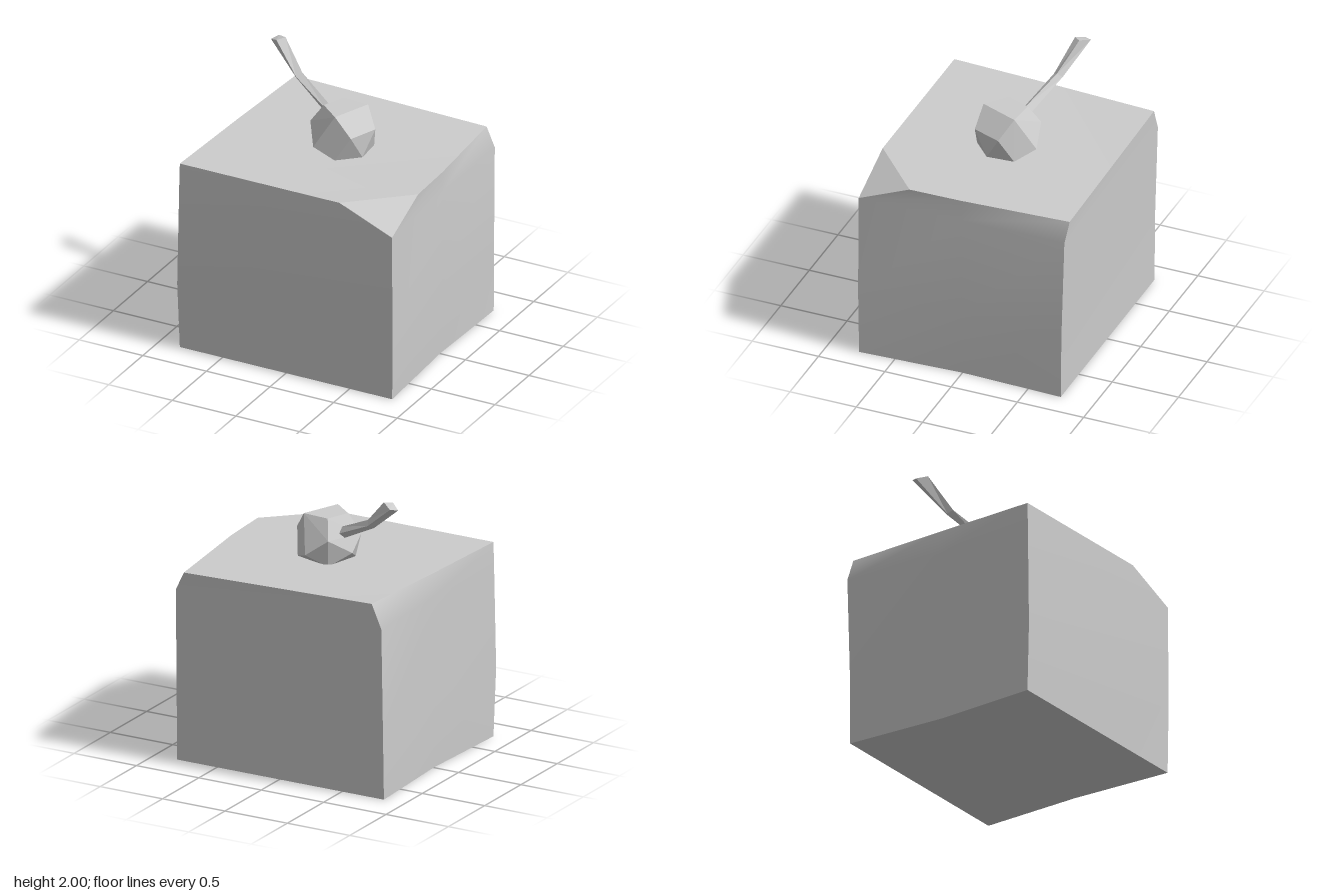
import * as THREE from 'three';
import { ConvexGeometry } from 'three/addons/geometries/ConvexGeometry.js';

const grey = new THREE.MeshStandardMaterial({ color: 0xcccccc });
grey.name = 'plain grey';

function mesh(name, geometry) {
  const m = new THREE.Mesh(geometry, grey);
  m.name = name;
  return m;
}

function surface(points, index) {
  const g = new THREE.BufferGeometry();
  g.setAttribute('position', new THREE.Float32BufferAttribute(points.flat(), 3));
  g.setIndex(index);
  g.computeVertexNormals();
  return g;
}

// Smooth sheet through rows of points, bottom to top and left to right from outside
function patch(rows) {
  const n = rows[0].length;
  const index = [];
  for (let r = 0; r < rows.length - 1; r++) {
    for (let c = 0; c < n - 1; c++) {
      const a = r * n + c;
      index.push(a, a + 1, a + n + 1, a, a + n + 1, a + n);
    }
  }
  return surface(rows.flat(), index);
}

// Polygon filled as a fan from its first corner
function fan(points) {
  const index = [];
  for (let i = 1; i < points.length - 1; i++) index.push(0, i, i + 1);
  return surface(points, index);
}

function createBlock() {
  const block = new THREE.Group();
  block.name = 'block';
  // Corner columns and side midlines, each from the floor up
  const frontLeft = [[-0.835, 0, 0.765], [-0.845, 0.5, 0.785], [-0.837, 1.26, 0.77], [-0.835, 1.43, 0.765]];
  const frontRight = [[0.835, 0, 0.765], [0.84, 0.5, 0.77], [0.835, 1.26, 0.768]];
  const backRight = [[0.82, 0, -0.75], [0.82, 0.5, -0.755], [0.815, 1.26, -0.775], [0.745, 1.40, -0.785]];
  const backLeft = [[-0.835, 0, -0.745], [-0.83, 0.5, -0.75], [-0.83, 1.26, -0.772], [-0.755, 1.435, -0.775]];
  const midRight = [[0.8, 0, 0], [0.82, 0.5, 0], [0.818, 1.26, 0], [0.82, 1.42, 0]];
  const midLeft = [[-0.8, 0, 0], [-0.815, 0.5, 0], [-0.81, 1.26, 0], [-0.8, 1.432, 0]];
  const chipFront = [0.42, 1.43, 0.765];
  const chipSide = [0.835, 1.425, 0.385];

  const wall = (name, ...columns) =>
    block.add(mesh(name, patch([0, 1, 2, 3].map((i) => columns.map((c) => c[i])))));
  wall('frontFace', frontLeft, [...frontRight, chipFront]);
  wall('rightFace', [...frontRight, chipSide], midRight, backRight);
  wall('backFace', backRight, backLeft);
  wall('leftFace', backLeft, midLeft, frontLeft);

  block.add(mesh('topFace', fan([frontLeft[3], chipFront, chipSide, midRight[3], backRight[3], backLeft[3], midLeft[3]])));
  block.add(mesh('bottomFace', fan([midLeft[0], backLeft[0], backRight[0], midRight[0], frontRight[0], frontLeft[0]])));
  block.add(mesh('chippedCorner', fan([frontRight[2], chipSide, chipFront])));
  return block;
}

// Faceted fruit: a tilted top facet, a ragged waist and a base sunk in the block
function createFruit() {
  const points = [
    [-0.03, 1.735, -0.135], [0.17, 1.735, -0.12], [0.06, 1.735, 0.16], [-0.095, 1.735, 0.035],
    [-0.19, 1.6, 0.055], [-0.08, 1.6, -0.215], [0.27, 1.6, -0.04], [0.19, 1.6, 0.17],
    [-0.19, 1.49, -0.07], [-0.09, 1.485, 0.2], [0.085, 1.48, -0.25],
    [0.21, 1.42, -0.135], [0.225, 1.42, 0.065], [0.08, 1.42, 0.2],
    [-0.14, 1.42, 0.06], [-0.06, 1.4, -0.18], [0.04, 1.36, 0],
  ];
  return mesh('fruit', new ConvexGeometry(points.map((p) => new THREE.Vector3(...p))));
}

// Bent four-sided stem flaring to its tip
function createStem() {
  const rings = [
    [[-0.12, 1.64, -0.13], [-0.14, 1.6, -0.09], [-0.14, 1.655, -0.065], [-0.12, 1.68, -0.09]],
    [[-0.41, 1.78, -0.235], [-0.44, 1.76, -0.2], [-0.42, 1.785, -0.165], [-0.39, 1.81, -0.2]],
    [[-0.65, 1.975, -0.345], [-0.685, 1.96, -0.29], [-0.615, 1.99, -0.24], [-0.57, 2, -0.29]],
  ];
  const index = [];
  for (let r = 0; r < 2; r++) {
    for (let i = 0; i < 4; i++) {
      const a = r * 4 + i;
      const b = r * 4 + ((i + 1) % 4);
      index.push(a, b, b + 4, a, b + 4, a + 4);
    }
  }
  index.push(8, 9, 10, 8, 10, 11);
  const flat = surface(rings.flat(), index).toNonIndexed();
  flat.computeVertexNormals();
  return mesh('stem', flat);
}

export function createModel() {
  const model = new THREE.Group();
  model.name = 'fruitOnBlock';
  model.add(createBlock(), createFruit(), createStem());
  return model;
}
